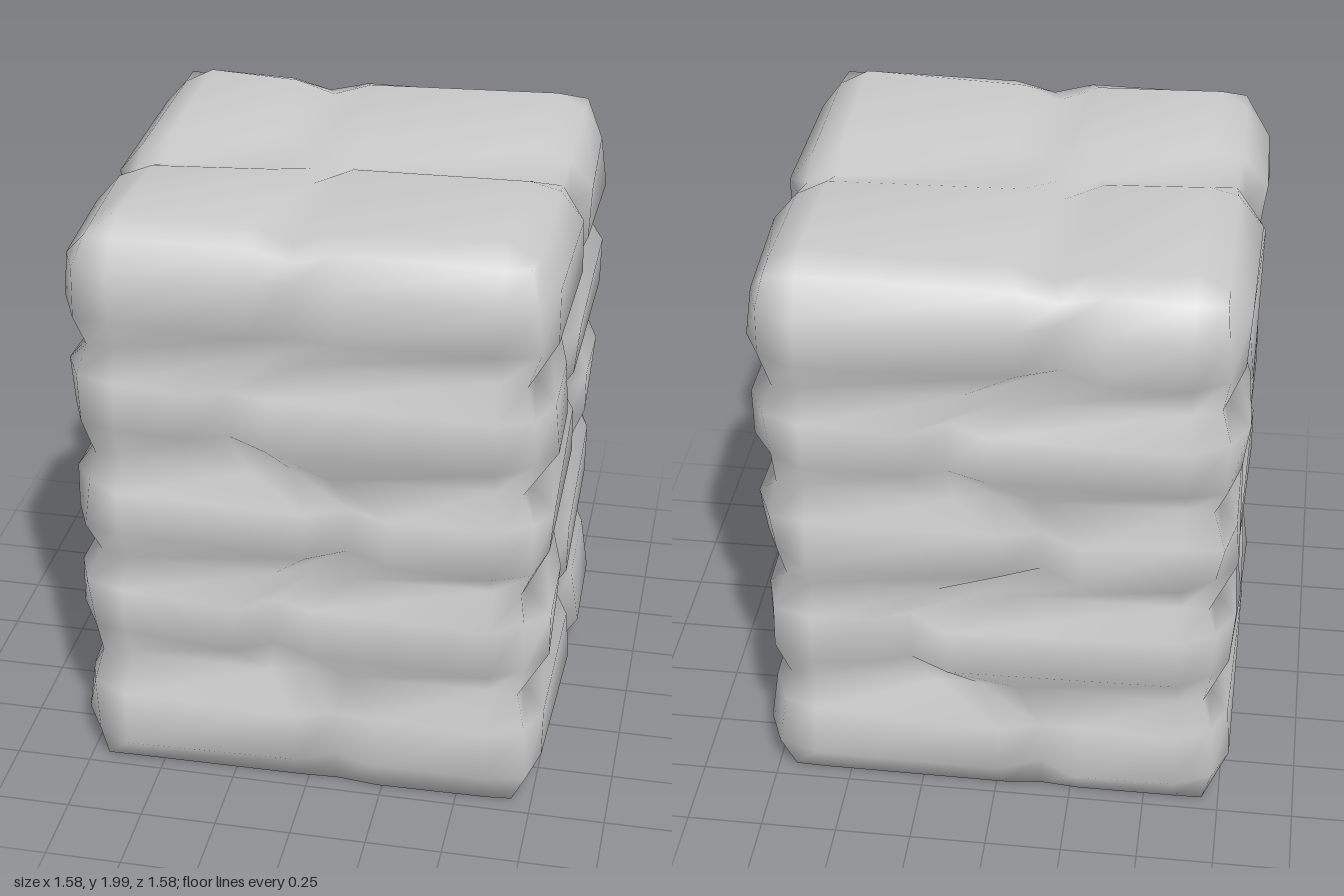
import * as THREE from 'three';
import { mergeVertices } from 'three/addons/utils/BufferGeometryUtils.js';

// Seeded noise in -1..1
let seed = 7;
const rand = () => {
  seed = (seed * 16807) % 2147483647;
  return (seed / 2147483647) * 2 - 1;
};

// Heights of the seams between the five courses
const SEAMS = [0, 0.42, 0.81, 1.18, 1.56, 1.94];

// Joint between two stones in each course, on each side
const JOINTS = {
  front: [0.1, -0.1, 0.14, -0.24, -0.03],
  back: [-0.15, 0.28, -0.15, 0.15, -0.2],
  left: [-0.12, 0.22, -0.2, 0.2, -0.04],
  right: [0.2, -0.12, 0.12, -0.2, 0.1],
};

const CELLS = 6;                       // columns across each side
const LEVELS = 3 * (SEAMS.length - 1); // seam, lower belly, upper belly per course

// Position of a side's joint at a level; seams take the mean of both courses
function jointAt(side, level) {
  const list = JOINTS[side];
  const n = Math.min(Math.floor(level / 3), list.length - 1);
  const seam = level % 3 === 0 && level > 0 && level < LEVELS;
  return seam ? (list[n - 1] + list[n]) / 2 : list[n];
}

// Position across a side: corner, shoulder, joint with its two lips, shoulder, corner
function across(index, joint, reach) {
  return [-reach, -0.6, joint - 0.13, joint, joint + 0.13, 0.6, reach][index];
}

// One continuous stack of stones: a box grid whose vertices are moved by rule
function stackGeometry() {
  let g = new THREE.BoxGeometry(CELLS, LEVELS, CELLS, CELLS, LEVELS, CELLS);
  g.deleteAttribute('uv');
  g.deleteAttribute('normal');
  g = mergeVertices(g);
  const p = g.attributes.position;
  for (let v = 0; v < p.count; v++) {
    const i = Math.round(p.getX(v) + CELLS / 2);
    const l = Math.round(p.getY(v) + LEVELS / 2);
    const k = Math.round(p.getZ(v) + CELLS / 2);
    const onX = i === 0 || i === CELLS;
    const onZ = k === 0 || k === CELLS;
    const rim = onX || onZ;
    const corner = onX && onZ;
    const onJoint = (onX && k === 3) || (onZ && i === 3);
    const seam = l % 3 === 0;

    // Distance of the surface from the axis: bellies bulge, seams and joints sink in
    let reach = seam ? 0.693 : 0.768;
    if (corner) reach = seam ? 0.69 : 0.715;
    else if (onJoint) reach = seam ? 0.685 : 0.72;
    if (l === 1 && !onJoint) reach += 0.012;
    reach += (seam ? 0.007 : 0.014) * rand();

    // Joints run across the top and bottom from one side to the other
    const { lerp } = THREE.MathUtils;
    const jx = lerp(jointAt('back', l), jointAt('front', l), k / CELLS);
    const jz = lerp(jointAt('right', l), jointAt('left', l), i / CELLS);

    // Height, with slightly wavy seams
    const n = Math.floor(l / 3);
    let y = SEAMS[n];
    if (!seam) y = lerp(y, SEAMS[n + 1], l % 3 === 1 ? 0.3 : 0.74);
    if (l > 0 && l < LEVELS) y += 0.015 * rand();

    // Cushioned top with valleys along the joints
    if (l === LEVELS) {
      const valley = i === 3 || k === 3;
      const lip = i === 2 || i === 4 || k === 2 || k === 4;
      if (rim) y = onJoint ? 1.905 : 1.94;
      else if (valley) y = 1.925;
      else y = lip ? 1.975 : 1.99;
      y += 0.006 * rand();
    }
    p.setXYZ(v, across(i, jx, reach), y, across(k, jz, reach));
  }
  g.computeVertexNormals();
  return g;
}

export function createModel() {
  const group = new THREE.Group();
  group.name = 'stonePillar';
  const material = new THREE.MeshStandardMaterial({ color: 0xcccccc });
  const stack = new THREE.Mesh(stackGeometry(), material);
  stack.name = 'stackedStones';
  group.add(stack);
  return group;
}
